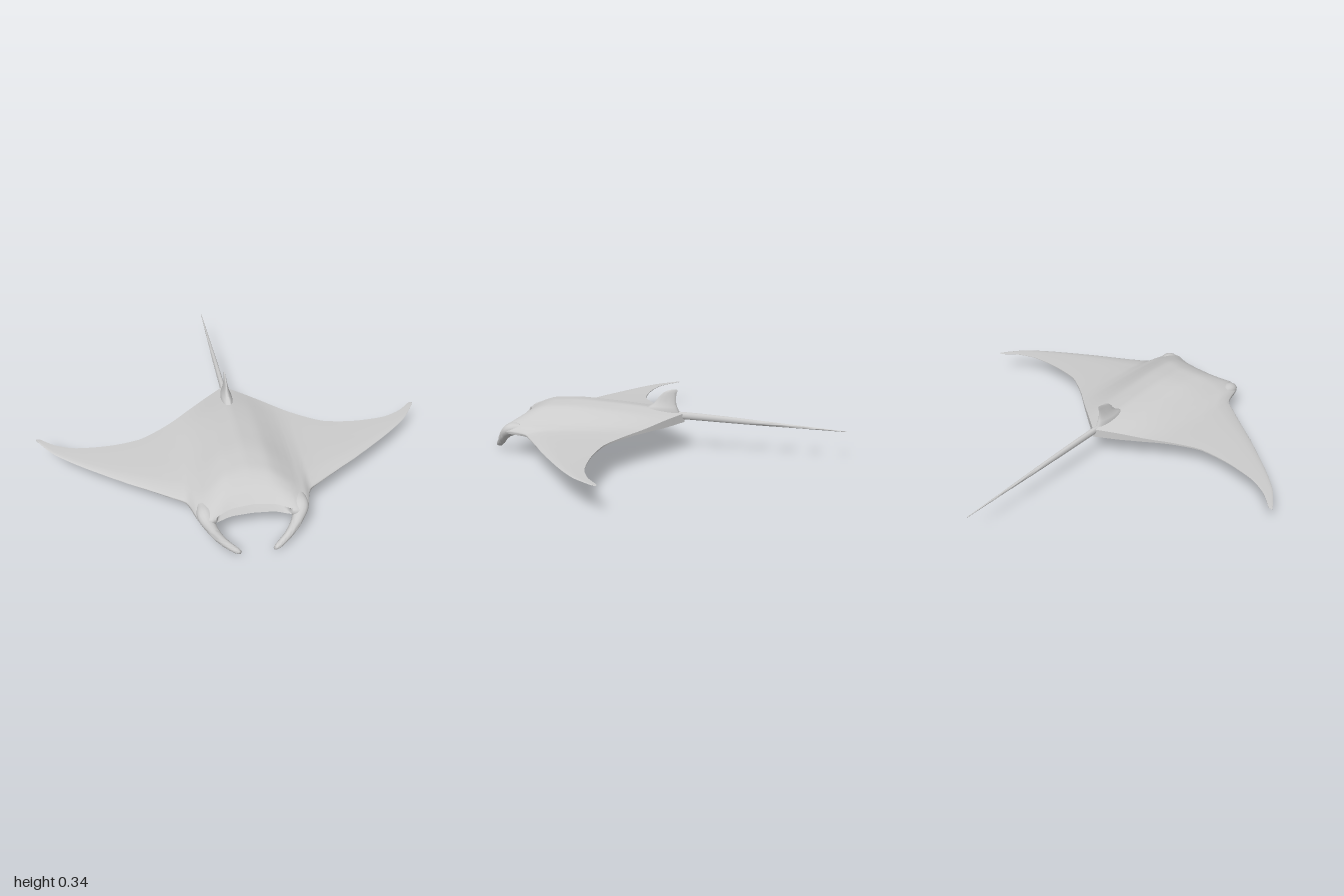
import * as THREE from 'three';
import { toCreasedNormals } from 'three/addons/utils/BufferGeometryUtils.js';

const material = new THREE.MeshStandardMaterial({ color: 0xcccccc });

// Smooth, overshoot-free interpolation through [position, value] pairs.
function profile(points) {
  const slope = i => (points[i + 1][1] - points[i][1]) / (points[i + 1][0] - points[i][0]);
  const tangents = points.map((p, i) => {
    if (i === 0) return slope(0);
    if (i === points.length - 1) return slope(i - 1);
    const a = slope(i - 1), b = slope(i);
    return a * b <= 0 ? 0 : 2 * a * b / (a + b);
  });
  return x => {
    let i = 0;
    while (i < points.length - 2 && x > points[i + 1][0]) i++;
    const [x0, y0] = points[i], [x1, y1] = points[i + 1];
    const h = x1 - x0, t = THREE.MathUtils.clamp((x - x0) / h, 0, 1);
    const t2 = t * t, t3 = t2 * t;
    return (2 * t3 - 3 * t2 + 1) * y0 + (t3 - 2 * t2 + t) * h * tangents[i]
      + (3 * t2 - 2 * t3) * y1 + (t3 - t2) * h * tangents[i + 1];
  };
}

// Skin over closed rings of [x, y, z] points, with both ends capped.
function loft(name, rings, crease) {
  const n = rings[0].length, last = rings.length - 1;
  const positions = rings.flat(2), index = [];
  for (let i = 0; i < last; i++) {
    for (let j = 0; j < n; j++) {
      const k = (j + 1) % n, a = i * n + j, b = i * n + k;
      index.push(a, b, a + n, b, b + n, a + n);
    }
  }
  for (const end of [0, last]) {
    const centre = positions.length / 3;
    for (let c = 0; c < 3; c++) positions.push(rings[end].reduce((s, p) => s + p[c], 0) / n);
    for (let j = 0; j < n; j++) {
      const a = end * n + j, b = end * n + (j + 1) % n;
      if (end === 0) index.push(centre, b, a); else index.push(a, b, centre);
    }
  }
  const geometry = new THREE.BufferGeometry();
  geometry.setAttribute('position', new THREE.Float32BufferAttribute(positions, 3));
  geometry.setIndex(index);
  const mesh = new THREE.Mesh(toCreasedNormals(geometry, crease), material);
  mesh.name = name;
  return mesh;
}

// Tapered oval tube along a curve; radii are profiles over 0..1.
function taperedTube(name, points, wide, high, steps, sides) {
  const curve = new THREE.CatmullRomCurve3(points.map(p => new THREE.Vector3(...p)));
  const up = new THREE.Vector3(0, 1, 0), rings = [];
  for (let i = 0; i <= steps; i++) {
    const t = i / steps, centre = curve.getPoint(t), dir = curve.getTangent(t);
    const u = new THREE.Vector3().crossVectors(up, dir).normalize();
    const v = new THREE.Vector3().crossVectors(dir, u);
    rings.push(Array.from({ length: sides }, (_, j) => {
      const a = j / sides * Math.PI * 2;
      return centre.clone().addScaledVector(u, Math.cos(a) * wide(t))
        .addScaledVector(v, Math.sin(a) * high(t)).toArray();
    }));
  }
  return loft(name, rings, 1.2);
}

// Disc and wings: fore-and-aft sections swept from wing tip to wing tip.
function createBody() {
  const lead = profile([[0, 0.79], [0.1, 0.8], [0.16, 0.825], [0.2, 0.84], [0.24, 0.83], [0.262, 0.805],
    [0.28, 0.74], [0.3, 0.69], [0.36, 0.645], [0.64, 0.46], [0.91, 0.25], [0.95, 0.2], [0.985, 0.15], [1, 0.125]]);
  const trail = profile([[0, -0.09], [0.2, 0.05], [0.37, 0.17], [0.5, 0.23], [0.64, 0.242], [0.79, 0.23],
    [0.9, 0.187], [0.96, 0.14], [0.985, 0.12], [1, 0.12]]);
  const leadY = profile([[0, 0.15], [0.1, 0.148], [0.2, 0.143], [0.3, 0.14], [0.5, 0.142], [1, 0.15]]);
  const trailY = profile([[0, 0.203], [0.2, 0.185], [0.37, 0.172], [0.6, 0.16], [1, 0.15]]);
  const topSpan = profile([[0, 1], [0.1, 0.93], [0.15, 0.76], [0.2, 0.53], [0.25, 0.31], [0.3, 0.2],
    [0.4, 0.14], [0.5, 0.11], [0.7, 0.06], [1, 0.012]]);
  const bottomSpan = profile([[0, 1], [0.1, 0.85], [0.2, 0.55], [0.3, 0.32], [0.5, 0.16], [0.8, 0.06], [1, 0.02]]);
  const topChord = profile([[0, 0.015], [0.2, 0.05], [0.45, 0.08], [0.7, 0.1], [0.8, 0.1], [0.9, 0.08],
    [0.96, 0.052], [1, 0.025]]);
  const bottomChord = profile([[0, 0.033], [0.2, 0.054], [0.5, 0.073], [0.7, 0.061], [0.9, 0.045], [1, 0.03]]);
  const mouth = profile([[0, 0.13], [0.1, 0.11], [0.15, 0.06], [0.18, -0.006], [1, -0.001]]);

  // Spanwise stations, closer together around the head corners
  const half = [];
  for (let x = 0; x < 0.139; x += 0.02) half.push(x);
  for (let x = 0.14; x < 0.319; x += 0.01) half.push(x);
  for (let x = 0.32; x < 0.879; x += 0.04) half.push(x);
  for (let x = 0.88; x < 0.999; x += 0.015) half.push(x);
  half.push(1);
  const stations = [...half.slice(1).reverse().map(x => -x), ...half];

  const steps = 28;
  const rings = stations.map(x => {
    const a = Math.abs(x), z0 = trail(a), z1 = lead(a), ring = [];
    const chord = t => THREE.MathUtils.lerp(trailY(a), leadY(a), t);
    const top = t => chord(t) + topSpan(a) * topChord(t);
    const bottom = t => chord(t) - bottomSpan(a) * bottomChord(t);
    const at = i => 1 - Math.pow(1 - i / steps, 1.3);
    for (let i = 0; i <= steps; i++) ring.push([x, top(at(i)), THREE.MathUtils.lerp(z0, z1, at(i))]);
    // Mouth hollow, fading into a rounded leading edge
    for (const [s, depth] of [[0.12, 0.5], [0.4, 1], [0.75, 1], [0.92, 0.5]]) {
      ring.push([x, THREE.MathUtils.lerp(top(1), bottom(1), s), z1 - mouth(a) * depth]);
    }
    for (let i = steps; i >= 0; i--) ring.push([x, bottom(at(i)), THREE.MathUtils.lerp(z0, z1, at(i))]);
    return ring;
  });
  return loft('body', rings, 1.0);
}

// Dorsal fin: stacked oval sections [y, front z, back z, half width].
function createDorsalFin() {
  const rows = [[0.215, 0.14, -0.065, 0.03], [0.24, 0.12, -0.056, 0.029], [0.252, 0.1, -0.05, 0.024],
    [0.265, 0.078, -0.046, 0.018], [0.285, 0.06, -0.044, 0.013], [0.305, 0.046, -0.044, 0.009],
    [0.325, 0.026, -0.048, 0.006], [0.338, 0.002, -0.053, 0.004], [0.345, -0.025, -0.05, 0.002]];
  const sides = 20;
  const rings = rows.map(([y, front, back, width]) => Array.from({ length: sides }, (_, j) => {
    const a = j / sides * Math.PI * 2;
    return [Math.sin(a) * width, y, (front + back) / 2 + Math.cos(a) * (front - back) / 2];
  }));
  return loft('dorsalFin', rings, 1.0);
}

export function createModel() {
  const group = new THREE.Group();
  group.name = 'mantaRay';
  group.add(createBody(), createDorsalFin());

  // Whip tail
  group.add(taperedTube('tail', [[0, 0.204, -0.04], [0, 0.204, -0.1], [0, 0.185, -0.5], [0, 0.163, -0.94]],
    profile([[0, 0.014], [0.33, 0.014], [1, 0.002]]),
    profile([[0, 0.02], [0.33, 0.02], [1, 0.002]]), 24, 12));

  // Curled head fins beside the mouth
  const wide = profile([[0, 0.03], [0.2, 0.04], [0.4, 0.027], [0.7, 0.018], [0.93, 0.014], [1, 0.006]]);
  const high = profile([[0, 0.02], [0.2, 0.032], [0.4, 0.026], [0.7, 0.019], [0.93, 0.014], [1, 0.006]]);
  for (const [name, side] of [['leftHeadFin', 1], ['rightHeadFin', -1]]) {
    const path = [[0.225, 0.16, 0.74], [0.223, 0.145, 0.8], [0.2, 0.103, 0.848], [0.165, 0.062, 0.878],
      [0.12, 0.032, 0.908], [0.078, 0.014, 0.932]].map(([x, y, z]) => [x * side, y, z]);
    group.add(taperedTube(name, path, wide, high, 24, 16));
  }
  return group;
}
